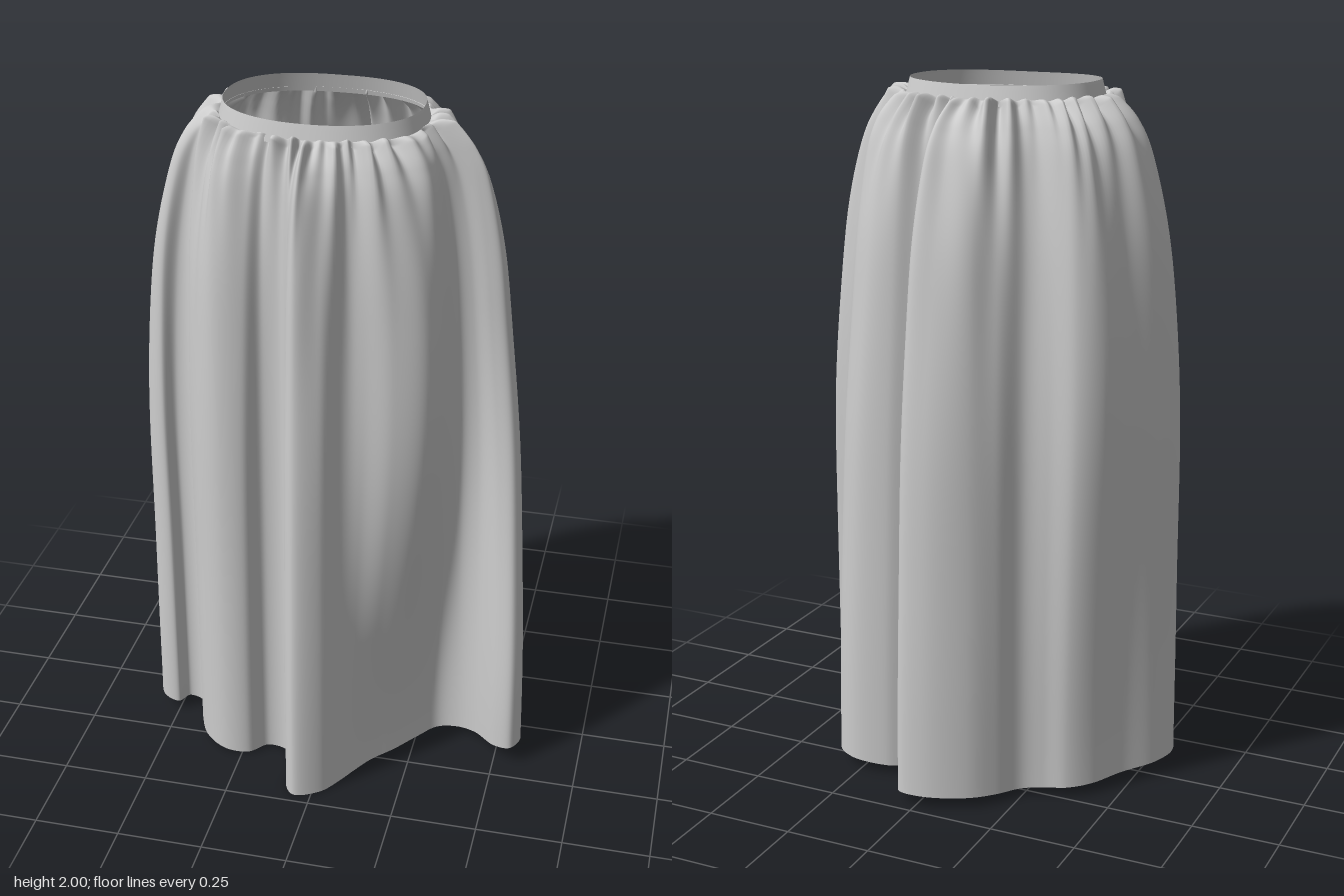
import * as THREE from 'three';

const N = 441; // samples around the cloth

// Fold outline seen from above: hem x, z and, where the cloth hangs differently higher up, hip x, z
// Order: right fold, front, left, back
const FOLDS = [
  [0.575, 0.14, 0.565, 0.025], [0.55, 0.188, 0.55, 0.06], [0.5, 0.175, 0.5, 0.065],
  [0.43, 0.11, 0.44, 0.055], [0.37, 0.085, 0.385, 0.075],
  [0.31, 0.09, 0.37, 0.15], [0.26, 0.14, 0.37, 0.24], [0.2, 0.21, 0.34, 0.31],
  [0.14, 0.27, 0.24, 0.345], [0.1, 0.33, 0.14, 0.34], [0.07, 0.38, 0.08, 0.365],
  [0.025, 0.44], [-0.05, 0.473], [-0.08, 0.44],
  [-0.085, 0.36], [-0.12, 0.28], [-0.18, 0.27], [-0.23, 0.32], [-0.3, 0.325], [-0.37, 0.28],
  [-0.41, 0.2], [-0.43, 0.13], [-0.475, 0.12, -0.475, 0.11], [-0.5, 0.162, -0.51, 0.135],
  [-0.55, 0.145, -0.555, 0.105], [-0.573, 0.08, -0.572, 0.04],
  [-0.55, 0, -0.54, -0.04], [-0.48, -0.09, -0.5, -0.12], [-0.425, -0.19, -0.465, -0.22],
  [-0.37, -0.24, -0.4, -0.27], [-0.305, -0.26, -0.32, -0.27], [-0.25, -0.29],
  [-0.2, -0.36], [-0.14, -0.42], [-0.03, -0.47], [0.05, -0.468], [0.07, -0.42], [0.035, -0.35],
  [0.035, -0.3], [0.1, -0.29], [0.17, -0.325], [0.27, -0.335], [0.33, -0.3], [0.36, -0.22],
  [0.385, -0.12], [0.395, -0.05, 0.39, -0.09], [0.44, 0, 0.43, -0.06],
  [0.5, 0.06, 0.49, -0.045], [0.555, 0.11, 0.54, -0.02],
];

// Flare profile: height against blend from waist (0) to full outline (1)
const FLARE = [
  [1.955, 0], [1.962, 0.08], [1.942, 0.2], [1.89, 0.37], [1.8, 0.51], [1.6, 0.66],
  [1.35, 0.76], [1, 0.87], [0.6, 0.94], [0.3, 0.98], [0, 1],
];

const CX = -0.05, CZ = 0.03; // waist centre

// Slightly squared oval of the waist
function waistPoint(a, grow) {
  const c = Math.cos(a), s = Math.sin(a);
  const r = Math.pow(Math.pow(Math.abs(c) / 0.27, 2.3) + Math.pow(Math.abs(s) / 0.2, 2.3), -1 / 2.3) + grow;
  return [CX + r * c, CZ + r * s];
}

// Closed sheet of rows running downwards; point(i, v) gives x, y, z
function sheet(name, rows, point) {
  const pos = [], index = [];
  for (let j = 0; j <= rows; j++)
    for (let i = 0; i < N; i++) pos.push(...point(i, j / rows));
  for (let j = 0; j < rows; j++)
    for (let i = 0; i < N; i++) {
      const k = (i + 1) % N, a = j * N + i, b = j * N + k, c = a + N, d = b + N;
      index.push(a, b, c, b, d, c);
    }
  const g = new THREE.BufferGeometry();
  g.setAttribute('position', new THREE.Float32BufferAttribute(pos, 3));
  g.setIndex(index);
  g.computeVertexNormals();
  const m = new THREE.Mesh(g, new THREE.MeshStandardMaterial({ color: 0xcccccc, side: THREE.DoubleSide }));
  m.name = name;
  return m;
}

// Smooth closed outline with matching samples for hem and hip
function outline(pick) {
  const pts = FOLDS.map((f) => new THREE.Vector3(pick(f)[0], 0, pick(f)[1]));
  return new THREE.CatmullRomCurve3(pts, true, 'centripetal').getPoints(N).slice(0, N);
}

// Waist angle belonging to each sample: unwrapped, then smoothed around the loop
function waistAngles(ring) {
  const raw = [];
  for (const p of ring) {
    let a = Math.atan2(p.z - CZ, p.x - CX);
    const last = raw.length ? raw[raw.length - 1] : a;
    while (a - last > Math.PI) a -= 2 * Math.PI;
    while (a - last < -Math.PI) a += 2 * Math.PI;
    raw.push(a);
  }
  const W = 24;
  return raw.map((_, i) => {
    let sum = 0;
    for (let k = -W; k <= W; k++) {
      const j = i + k;
      sum += raw[(j + N) % N] + (j < 0 ? -2 * Math.PI : j >= N ? 2 * Math.PI : 0);
    }
    return sum / (2 * W + 1);
  });
}

export function createModel() {
  const group = new THREE.Group();
  group.name = 'gatheredSkirt';

  const hem = outline((f) => f.slice(0, 2));
  const hip = outline((f) => f.slice(-2));
  const angles = waistAngles(hip);
  const flare = new THREE.SplineCurve(FLARE.map(([y, t]) => new THREE.Vector2(y, t)));

  // Draped cloth: waist oval blended into the folds, with gathers under the band
  group.add(sheet('skirtCloth', 120, (i, v) => {
    const { x: h, y: blend } = flare.getPoint(v);
    const a = angles[i], c = Math.cos(a), s = Math.sin(a);
    const p = hem[i].clone().lerp(hip[i], THREE.MathUtils.smoothstep(h, 0.05, 1.45));

    // fuller on the left and back, slimmer on the right and front
    const lean = 0.11 * c - 0.075 * c * c + 0.055 * s;
    const k = THREE.MathUtils.clamp(h / 1.96, 0, 1);
    const t = blend - lean * Math.sin(Math.PI * k * k);
    const [wx, wz] = waistPoint(a, 0.01);

    // Tight gathers fade quickly, broader creases run further down
    const depth = Math.max(0, 1.95 - h), start = Math.min(1, blend / 0.15);
    const tight = Math.sin(37 * a + 1.6 * Math.sin(5 * a) + 7 * depth * Math.sin(3 * a)) * (0.75 + 0.4 * Math.sin(7 * a + 2));
    const broad = Math.sin(17 * a + 1.4 * Math.sin(4 * a + 1) + 2 * depth * Math.cos(2 * a));
    const crease = start * (0.014 * tight * Math.exp(-depth / 0.13) + 0.014 * broad * Math.exp(-depth / 0.4));

    // Ruffled top edge and a hem that lifts at the sides and back
    const ruffle = 0.014 * tight * start * Math.exp(-depth / 0.05);
    const lift = 0.008 + (p.x > 0 ? 0.17 : 0.11) * p.x * p.x + (p.z < 0 ? 0.12 * p.z * p.z : 0) - 0.008 * Math.max(0, s);
    return [
      wx + (p.x - wx) * t + c * crease,
      h + ruffle + lift * (1 - k),
      wz + (p.z - wz) * t + s * crease,
    ];
  }));

  // Waistband: plain strip, flaring slightly downwards, its rim dipping at front and back
  const band = [[0, 2], [0.004, 1.985], [0.014, 1.945]];
  group.add(sheet('waistband', band.length - 1, (i, v) => {
    const [grow, y] = band[Math.round(v * (band.length - 1))];
    const a = (i / N) * 2 * Math.PI;
    const [x, z] = waistPoint(a, grow);
    return [x, y - 0.004 * Math.sin(a) ** 2, z];
  }));

  return group;
}
